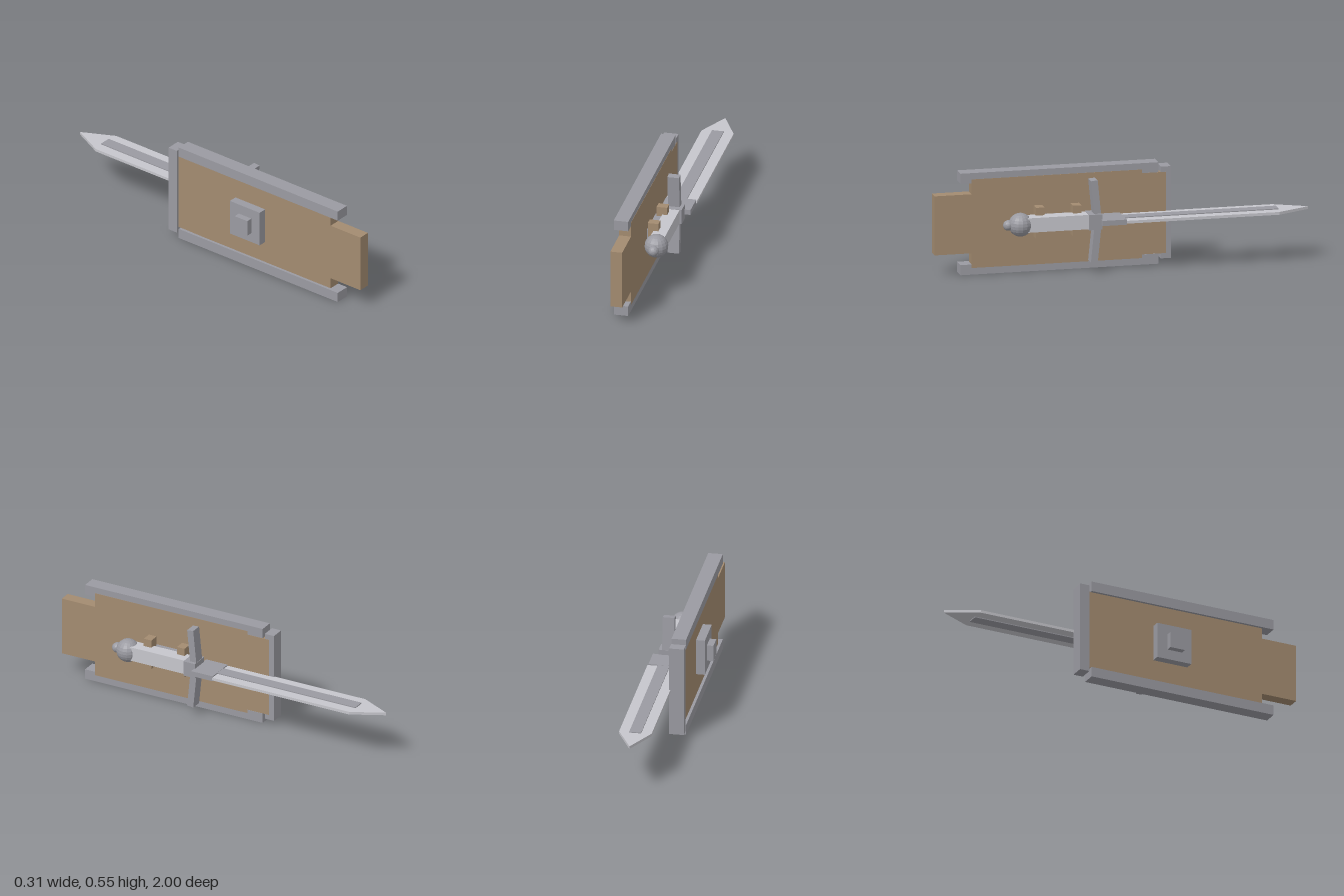
import * as THREE from 'three';

const mat = (name, color) => Object.assign(new THREE.MeshStandardMaterial({ color, flatShading: true }), { name });

export function createModel() {
  const wood = mat('wood', 0xa38b70);
  const iron = mat('iron', 0x9a9aa1);
  const steel = mat('brightSteel', 0xc6c6cc);
  const model = new THREE.Group();
  model.name = 'shieldAndSword';

  const add = (group, name, geometry, material) => {
    const mesh = new THREE.Mesh(geometry, material);
    mesh.name = name;
    group.add(mesh);
    return mesh;
  };
  // Box given by its limits along x, y and z
  const box = (group, name, material, [x0, x1], [y0, y1], [z0, z1]) => {
    const mesh = add(group, name, new THREE.BoxGeometry(x1 - x0, y1 - y0, z1 - z0), material);
    mesh.position.set((x0 + x1) / 2, (y0 + y1) / 2, (z0 + z1) / 2);
    return mesh;
  };
  const midY = 0.276;
  const swordX = 0.068;

  // Shield: stepped board, drawn as (-z, y) and extruded along x
  const shield = new THREE.Group();
  shield.name = 'shield';
  model.add(shield);
  const half = [[-1, 0.16], [-0.8, 0.16], [-0.8, 0.24], [0.12, 0.24], [0.12, 0.22], [0.25, 0.22]];
  const outline = [
    ...half.map(([u, h]) => new THREE.Vector2(u, midY - h)),
    ...half.slice().reverse().map(([u, h]) => new THREE.Vector2(u, midY + h)),
  ];
  const board = new THREE.ExtrudeGeometry(new THREE.Shape(outline), { depth: 0.064, bevelEnabled: false });
  board.rotateY(Math.PI / 2).translate(-0.075, 0, 0);
  add(shield, 'board', board, wood);

  // Iron rim and back boss
  const rimX = [-0.09, -0.012];
  box(shield, 'topRail', iron, rimX, [0.495, 0.55], [-0.21, 0.86]);
  box(shield, 'bottomRail', iron, rimX, [0, 0.055], [-0.21, 0.86]);
  box(shield, 'endRail', iron, rimX, [0.028, 0.525], [-0.278, -0.223]);
  box(shield, 'backBoss', iron, [-0.122, -0.074], [0.177, 0.375], [0.16, 0.36]);
  box(shield, 'backBossCap', iron, [-0.157, -0.121], [0.232, 0.32], [0.22, 0.305]);

  // Mount that carries the sword
  box(shield, 'mountPlate', iron, [-0.012, 0.032], [0.245, 0.307], [0.24, 0.44]);
  for (const z of [0.222, 0.422]) box(shield, 'bracket', wood, [0, 0.057], [0.192, 0.359], [z, z + 0.046]);

  // Sword
  const sword = new THREE.Group();
  sword.name = 'sword';
  model.add(sword);
  const bladeShape = new THREE.Shape([[-0.087, 0], [0.087, 0], [0.087, 0.825], [0, 1], [-0.087, 0.825]]
    .map(([x, y]) => new THREE.Vector2(x, y)));
  const blade = new THREE.ExtrudeGeometry(bladeShape, { depth: 0.015, bevelEnabled: false });
  blade.rotateX(-Math.PI / 2).translate(swordX, 0.27, 0);
  add(sword, 'blade', blade, steel);
  box(sword, 'bladeRidge', iron, [0.036, 0.1], [0.265, 0.29], [-0.833, 0.01]);
  box(sword, 'bladeCollar', iron, [-0.014, 0.15], [0.263, 0.291], [0, 0.13]);
  box(sword, 'guardBlock', iron, [0.018, 0.118], [0.236, 0.319], [0.125, 0.195]);
  box(sword, 'grip', steel, [0.03, 0.106], [0.239, 0.317], [0.19, 0.53]);

  // Two guard arms leaning towards the pommel
  for (const side of [1, -1]) {
    const arm = box(sword, side > 0 ? 'upperGuardArm' : 'lowerGuardArm', iron, [0.037, 0.1], [-0.098, 0.098], [-0.0185, 0.0185]);
    arm.position.set(0.0685, midY + side * 0.125, 0.154);
    arm.rotation.x = side * 0.1;
  }

  // Round pommel and its end knob
  for (const [name, r, z] of [['pommel', 0.063, 0.556], ['pommelKnob', 0.028, 0.621]]) {
    add(sword, name, new THREE.SphereGeometry(r, 16, 12), iron).position.set(swordX, midY, z);
  }
  return model;
}
